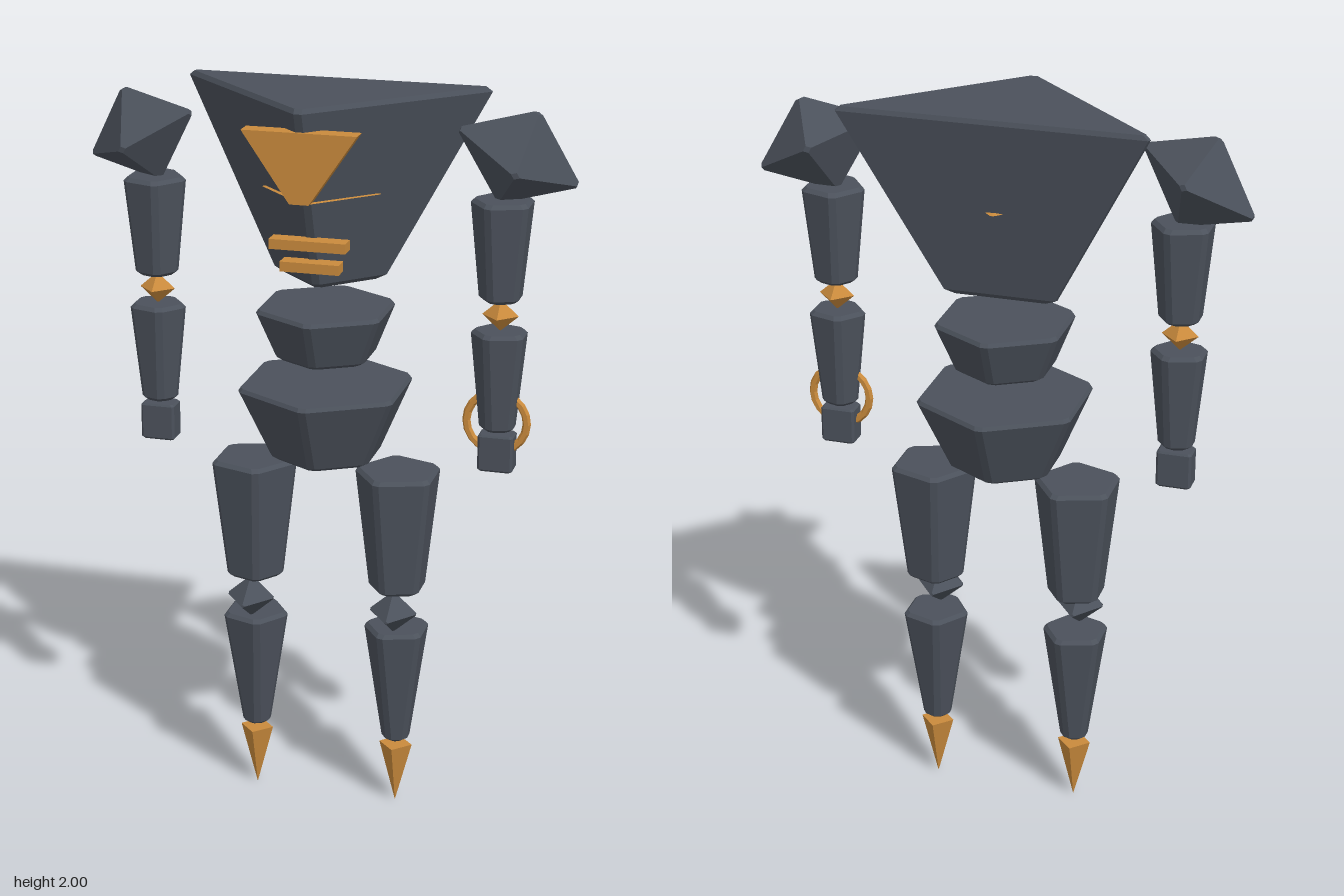
import * as THREE from 'three';
import { ConvexGeometry } from 'three/addons/geometries/ConvexGeometry.js';

const slate = new THREE.MeshStandardMaterial({ color: 0x4b515b });
slate.name = 'slate';
const amber = new THREE.MeshStandardMaterial({ color: 0xc98a3c });
amber.name = 'amber';

const Z = -0.015; // depth of the body axis

function add(parent, name, geometry, material, x = 0, y = 0, z = 0) {
  const mesh = new THREE.Mesh(geometry, material);
  mesh.name = name;
  mesh.position.set(x, y, z);
  parent.add(mesh);
  return mesh;
}

function flat(geometry) {
  const g = geometry.index ? geometry.toNonIndexed() : geometry;
  g.computeVertexNormals();
  return g;
}

// Tapered prism with chamfered edges; first corner points at angle turn (0 = +z)
function taperedPrism(n, y0, r0, y1, r1, { turn = 0, depth = 1, bevel = 0.01 } = {}) {
  const points = [];
  const radiusAt = (y) => r0 + ((r1 - r0) * (y - y0)) / (y1 - y0);
  const inset = bevel / Math.cos(Math.PI / n);
  const rings = [
    [y0, r0 - inset], [y0 + bevel, radiusAt(y0 + bevel)],
    [y1 - bevel, radiusAt(y1 - bevel)], [y1, r1 - inset],
  ];
  for (const [y, r] of rings) {
    const corner = (i) => {
      const a = turn + (i * 2 * Math.PI) / n;
      return new THREE.Vector3(r * Math.sin(a), y, r * Math.cos(a) * depth);
    };
    for (let i = 0; i < n; i++) {
      for (const next of [i - 1, i + 1]) {
        const p = corner(i), q = corner(next);
        points.push(p.lerp(q, Math.min(0.4, (bevel * 1.2) / p.distanceTo(q))));
      }
    }
  }
  return new ConvexGeometry(points);
}

// Octahedron on three half-axes with its tips cut off by fraction cut
function gem(axes, cut = 0.06) {
  const points = [];
  axes.forEach((a, i) => axes.forEach((b, j) => {
    if (i === j) return;
    for (const s of [-1, 1]) for (const t of [-1, 1]) {
      points.push(new THREE.Vector3(...a).multiplyScalar(s * (1 - cut))
        .addScaledVector(new THREE.Vector3(...b), t * cut));
    }
  }));
  return new ConvexGeometry(points);
}

const gemXYZ = (x, y, z, cut) => gem([[x, 0, 0], [0, y, 0], [0, 0, z]], cut);

export function createModel() {
  const model = new THREE.Group();
  model.name = 'figure';

  // Trunk
  add(model, 'torso', taperedPrism(3, 1.5, 0.18, 2, 0.485, { depth: 0.565, bevel: 0.012 }), slate, 0, 0, Z);
  add(model, 'abdomen', taperedPrism(6, 1.29, 0.135, 1.43, 0.195), slate, 0, 0, Z);
  add(model, 'pelvis', taperedPrism(6, 1.015, 0.15, 1.22, 0.245), slate, 0, 0, Z);

  // Chest ornaments
  const plate = new THREE.Shape();
  plate.moveTo(-0.148, 1.94);
  plate.lineTo(-0.025, 1.76);
  plate.lineTo(0.025, 1.76);
  plate.lineTo(0.148, 1.94);
  plate.closePath();
  add(model, 'chestPlate', new THREE.ExtrudeGeometry(plate, { depth: 0.046, bevelEnabled: false }), amber, 0, 0, 0.19);
  add(model, 'chestBand', flat(gemXYZ(0.16, 0.015, 0.16, 0.03)), amber, 0, 1.747, 0.028);
  add(model, 'upperBar', new THREE.BoxGeometry(0.2, 0.026, 0.045), amber, 0, 1.635, 0.143);
  add(model, 'lowerBar', new THREE.BoxGeometry(0.155, 0.026, 0.045), amber, 0, 1.572, 0.123);

  for (const s of [-1, 1]) {
    const side = s > 0 ? 'left' : 'right';
    const turn = (-s * Math.PI) / 2; // corner inwards, flat face outwards

    // Arm
    const arm = new THREE.Group();
    arm.name = side + 'Arm';
    arm.position.set(s * 0.463, 0, Z);
    model.add(arm);
    const shoulderAxes = [[s * 0.155, 0.074, -s * s * -0.033], [s * -0.05, 0.122, 0], [s * -0.015, -0.022, 0.122]];
    // mirrored shoulder: outward axis flips with the side
    shoulderAxes[0] = [-s * 0.155, 0.074, 0.033];
    shoulderAxes[1] = [s * 0.05, 0.122, 0];
    shoulderAxes[2] = [s * 0.015, -0.022, 0.122];
    add(arm, 'shoulder', gem(shoulderAxes, 0.07), slate, s * 0.035, 1.853, -0.005);
    add(arm, 'upperArm', taperedPrism(5, 1.48, 0.062, 1.745, 0.09, { turn }), slate);
    add(arm, 'elbow', gemXYZ(0.048, 0.042, 0.048, 0.02), amber, 0, 1.44, 0);
    add(arm, 'forearm', taperedPrism(5, 1.13, 0.054, 1.4, 0.083, { turn, depth: 0.9 }), slate);
    add(arm, 'hand', taperedPrism(4, 1.02, 0.066, 1.12, 0.066, { turn: Math.PI / 4, depth: 0.66, bevel: 0.005 }), slate);

    // Leg
    const leg = new THREE.Group();
    leg.name = side + 'Leg';
    leg.position.set(s * 0.2, 0, Z);
    model.add(leg);
    add(leg, 'thigh', taperedPrism(5, 0.648, 0.083, 0.99, 0.124, { turn }), slate);
    add(leg, 'knee', gemXYZ(0.068, 0.06, 0.086, 0.08), slate, 0, 0.597, 0.043);
    add(leg, 'shin', taperedPrism(5, 0.197, 0.043, 0.54, 0.097, { turn }), slate);
    add(leg, 'foot', flat(new THREE.CylinderGeometry(0.046, 0.0005, 0.175, 4)), amber, 0, 0.0925, 0);
  }

  // Bracelet around the left wrist
  add(model, 'wristRing', flat(new THREE.TorusGeometry(0.08, 0.011, 6, 20)), amber, 0.46, 1.15, Z);

  return model;
}
